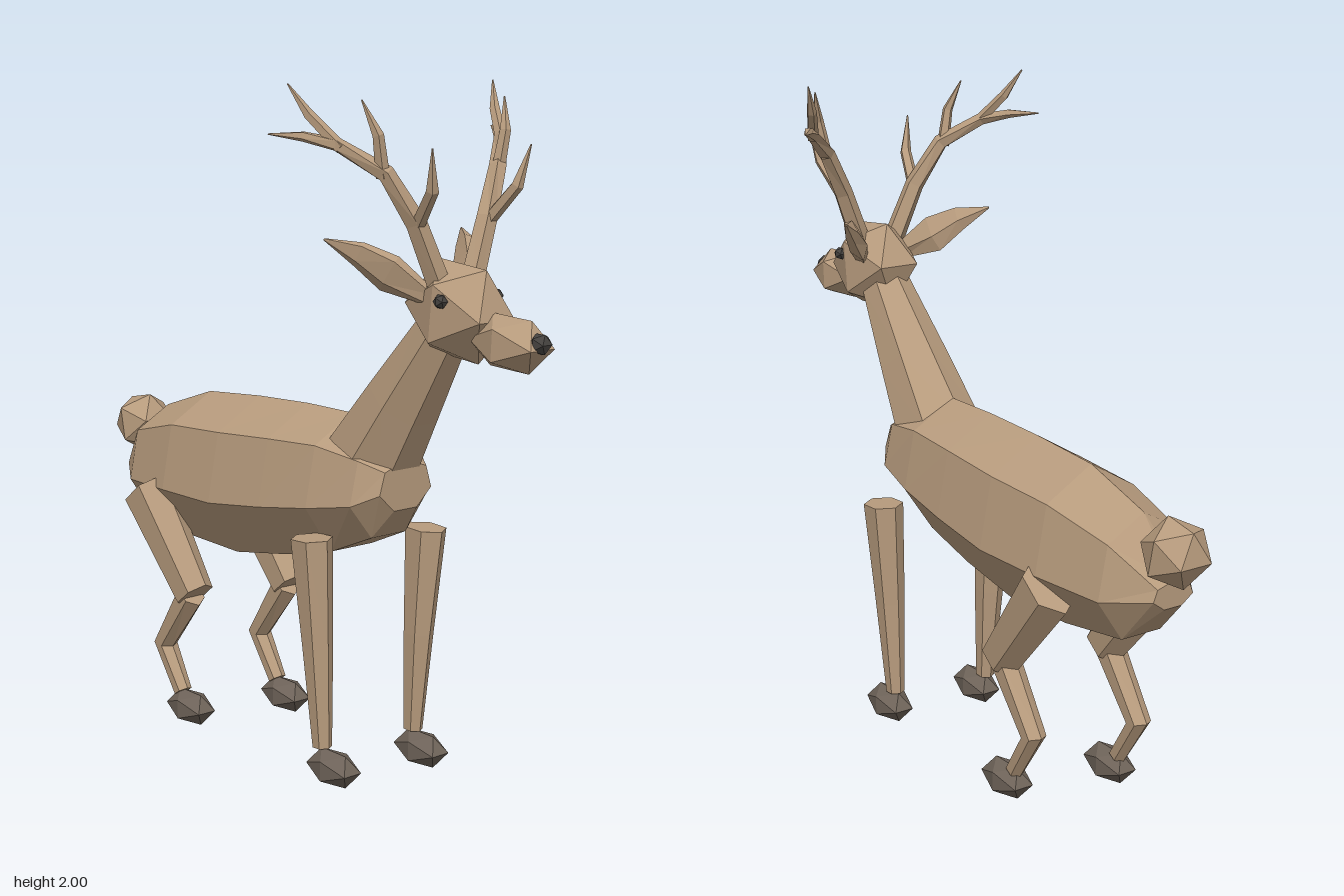
import * as THREE from 'three';

const mat = (name, color) => {
  const m = new THREE.MeshStandardMaterial({ color, flatShading: true });
  m.name = name;
  return m;
};

// Faceted skin through rings [x, y, z, radius, sideRadius]; axis fixes the ring direction
function loft(rings, sides, axis) {
  const P = rings.map(r => new THREE.Vector3(r[0], r[1], r[2]));
  const pos = [];
  const loops = rings.map((r, i) => {
    const a = P[Math.max(i - 1, 0)], b = P[Math.min(i + 1, P.length - 1)];
    const t = axis || b.clone().sub(a).normalize();
    const v = new THREE.Vector3(0, 0, 1).addScaledVector(t, -t.z).normalize();
    const u = v.clone().cross(t);
    return Array.from({ length: sides }, (_, k) => {
      const ang = (k / sides) * Math.PI * 2;
      return P[i].clone().addScaledVector(u, Math.cos(ang) * r[3])
        .addScaledVector(v, Math.sin(ang) * (r[4] ?? r[3]));
    });
  });
  const tri = (...pts) => pts.forEach(p => pos.push(p.x, p.y, p.z));
  const last = loops.length - 1;
  for (let k = 0; k < sides; k++) {
    const n = (k + 1) % sides;
    tri(P[0], loops[0][n], loops[0][k]);
    tri(P[last], loops[last][k], loops[last][n]);
    for (let i = 0; i < last; i++) {
      const A = loops[i], B = loops[i + 1];
      tri(A[k], A[n], B[k]);
      tri(A[n], B[n], B[k]);
    }
  }
  const g = new THREE.BufferGeometry();
  g.setAttribute('position', new THREE.Float32BufferAttribute(pos, 3));
  g.computeVertexNormals();
  return g;
}

export function createModel() {
  const model = new THREE.Group();
  model.name = 'deer';
  const fur = mat('tan fur', 0xb79b7d);
  const hoofMat = mat('dark hoof', 0x6e6359);
  const dark = mat('dark eye and nose', 0x45423f);

  const add = (name, geo, m = fur) => {
    const mesh = new THREE.Mesh(geo, m);
    mesh.name = name;
    model.add(mesh);
    return mesh;
  };
  // Stretched icosahedron
  const gem = (name, p, s, m, tilt = 0) => {
    const mesh = add(name, new THREE.IcosahedronGeometry(1, 0), m);
    mesh.position.set(...p);
    mesh.scale.set(...s);
    mesh.rotation.z = tilt;
    return mesh;
  };

  // Body, seven-sided with a ridge along the back
  add('body', loft([
    [-0.86, 0.76, 0, 0.04, 0.07],
    [-0.73, 0.77, 0, 0.185, 0.155],
    [-0.5, 0.793, 0, 0.237, 0.195],
    [-0.25, 0.8, 0, 0.25, 0.205],
    [-0.02, 0.825, 0, 0.235, 0.195],
    [0.18, 0.85, 0, 0.21, 0.18],
    [0.34, 0.865, 0, 0.15, 0.15],
    [0.41, 0.885, 0, 0.075, 0.1],
  ], 7, new THREE.Vector3(1, 0, 0)));

  // Neck and tail
  add('neck', loft([
    [0.25, 0.92, 0, 0.15, 0.13],
    [0.4, 1.13, 0, 0.115, 0.105],
    [0.56, 1.35, 0, 0.078, 0.075],
  ], 7));
  gem('tail', [-0.865, 0.88, 0], [0.1, 0.1, 0.1], fur, 0.2);

  // Head, muzzle and nose
  gem('head', [0.615, 1.4, 0], [0.17, 0.15, 0.125], fur, -0.1);
  gem('muzzle', [0.81, 1.335, 0], [0.135, 0.083, 0.085], fur, -0.05);
  gem('nose', [0.915, 1.345, 0], [0.031, 0.031, 0.034], dark);

  for (const s of [1, -1]) {
    const side = s > 0 ? 'left' : 'right';
    // Mirrored limb: z of every ring flips with the side, dx shifts the stride
    const limb = (name, rings, sides, dx = 0) =>
      add(`${side} ${name}`, loft(rings.map(([x, y, z, ...r]) => [x + dx, y, z * s, ...r]), sides));

    gem(`${side} eye`, [0.65, 1.437, 0.103 * s], [0.021, 0.021, 0.021], dark);

    limb('ear', [
      [0.58, 1.435, 0.07, 0.025, 0.02],
      [0.49, 1.5, 0.14, 0.062, 0.03],
      [0.43, 1.55, 0.195, 0.04, 0.022],
      [0.355, 1.588, 0.255, 0.003],
    ], 5);

    // Antler: main beam with three tines
    limb('antler beam', [
      [0.6, 1.46, 0.055, 0.034],
      [0.582, 1.64, 0.13, 0.03],
      [0.545, 1.77, 0.205, 0.025],
      [0.46, 1.845, 0.3, 0.019],
      [0.39, 1.865, 0.355, 0.014],
      [0.312, 1.87, 0.41, 0.002],
    ], 5);
    limb('brow tine', [
      [0.585, 1.63, 0.13, 0.02],
      [0.67, 1.73, 0.155, 0.018],
      [0.695, 1.84, 0.18, 0.002],
    ], 5);
    limb('middle tine', [
      [0.54, 1.76, 0.21, 0.02],
      [0.545, 1.87, 0.232, 0.016],
      [0.512, 1.96, 0.26, 0.002],
    ], 5);
    limb('top tine', [
      [0.47, 1.835, 0.295, 0.018],
      [0.395, 1.92, 0.34, 0.015],
      [0.35, 2.0, 0.375, 0.002],
    ], 5);

    // Front leg
    const fx = s > 0 ? 0.2 : 0.315;
    const foot = s > 0 ? 0.23 : 0.285;
    limb('front leg', [
      [fx, 0.72, 0.168, 0.068, 0.058],
      [(fx + foot) / 2, 0.4, 0.158, 0.047, 0.044],
      [foot, 0.1, 0.153, 0.03, 0.028],
    ], 6);

    // Hind leg: thigh, then shin bent at the hock
    const dx = s > 0 ? 0 : 0.095;
    limb('thigh', [
      [-0.62, 0.715, 0.158, 0.095, 0.075],
      [-0.385, 0.42, 0.153, 0.07, 0.055],
    ], 6, dx);
    limb('shin', [
      [-0.405, 0.42, 0.153, 0.05, 0.042],
      [-0.545, 0.23, 0.153, 0.038, 0.036],
      [-0.455, 0.09, 0.153, 0.028],
    ], 6, dx);

    // Hooves
    for (const [name, x] of [['front hoof', fx + (s > 0 ? 0.08 : 0.005)], ['hind hoof', -0.415 + dx]]) {
      gem(`${side} ${name}`, [x, 0.05, 0.153 * s], [0.1, 0.056, 0.06], hoofMat);
    }
  }

  // Stand on the ground
  const box = new THREE.Box3().setFromObject(model, true);
  model.children.forEach(c => { c.position.y -= box.min.y; });
  return model;
}
